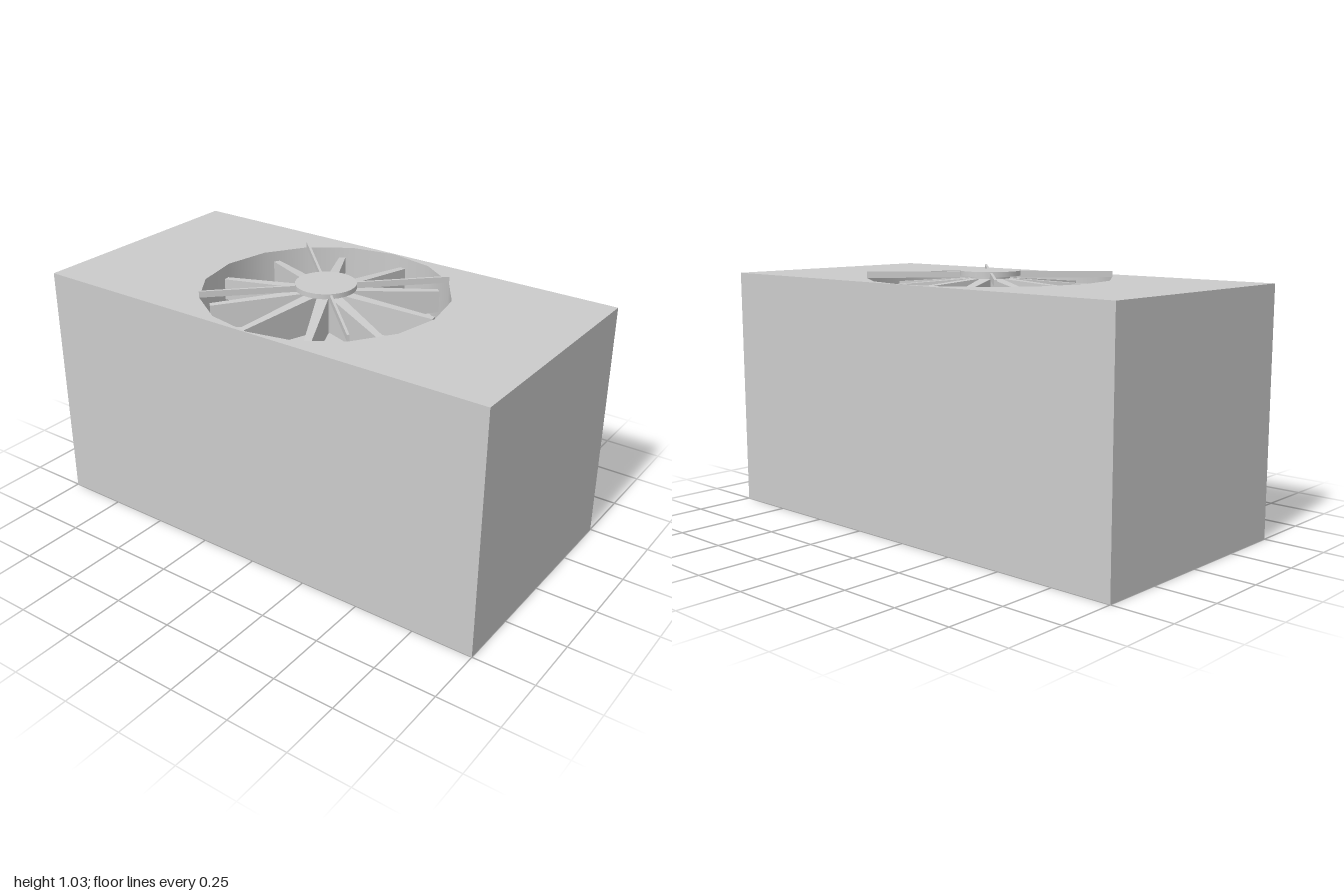
import * as THREE from 'three';

const grey = new THREE.MeshStandardMaterial({ color: 0xcccccc, side: THREE.DoubleSide });
const flat = new THREE.MeshStandardMaterial({ color: 0xcccccc, flatShading: true });

const WELL_R = 0.495, WELL_DEPTH = 0.2, SIDES = 16;

function add(parent, name, geometry, material, x = 0, y = 0, z = 0) {
  const mesh = new THREE.Mesh(geometry, material);
  mesh.name = name;
  mesh.position.set(x, y, z);
  parent.add(mesh);
  return mesh;
}

// Four walls and base of the housing: a box without its top face
function openBox(w, h, d) {
  const g = new THREE.BoxGeometry(w, h, d);
  const index = Array.from(g.index.array);
  index.splice(12, 6);
  g.setIndex(index);
  g.clearGroups();
  return g;
}

// Top plate with a many-sided opening
function topPlate(w, d) {
  const shape = new THREE.Shape([
    new THREE.Vector2(-w / 2, -d / 2), new THREE.Vector2(w / 2, -d / 2),
    new THREE.Vector2(w / 2, d / 2), new THREE.Vector2(-w / 2, d / 2),
  ]);
  const ring = [];
  for (let i = 0; i < SIDES; i++) {
    const a = -i / SIDES * Math.PI * 2;
    ring.push(new THREE.Vector2(WELL_R * Math.cos(a), WELL_R * Math.sin(a)));
  }
  shape.holes.push(new THREE.Path(ring));
  return new THREE.ShapeGeometry(shape).rotateX(-Math.PI / 2);
}

// Blade along +x, tapering in width and height towards its tip
function bladeGeometry(inner, outer) {
  const g = new THREE.BoxGeometry(outer - inner, 0.15, 0.046);
  g.translate((inner + outer) / 2, 0, 0);
  const p = g.attributes.position;
  for (let i = 0; i < p.count; i++) {
    const k = 1 - 0.42 * (p.getX(i) - inner) / (outer - inner);
    p.setY(i, p.getY(i) * k);
    p.setZ(i, p.getZ(i) * k);
  }
  g.computeVertexNormals();
  return g;
}

export function createModel() {
  const model = new THREE.Group();
  model.name = 'fanUnit';

  // Housing
  const housing = new THREE.Group();
  housing.name = 'housing';
  model.add(housing);
  add(housing, 'housingWalls', openBox(1, 1, 2), grey, 0, 0.5, 0);
  add(housing, 'housingTop', topPlate(1, 2), grey, 0, 1, 0);
  add(housing, 'wellWall',
    new THREE.CylinderGeometry(WELL_R, WELL_R, WELL_DEPTH, SIDES, 1, true), grey, 0, 1 - WELL_DEPTH / 2, 0);
  add(housing, 'wellFloor',
    new THREE.CircleGeometry(WELL_R, SIDES).rotateX(-Math.PI / 2), grey, 0, 1 - WELL_DEPTH, 0);

  // Fan: ten blades around a motor
  const fan = new THREE.Group();
  fan.name = 'fan';
  model.add(fan);
  const blade = bladeGeometry(0.07, 0.455);
  for (let i = 0; i < 10; i++) {
    const mesh = add(fan, 'blade', blade, flat, 0, 0.925, 0);
    mesh.rotation.y = -THREE.MathUtils.degToRad(9 + 36 * i);
  }
  add(fan, 'motor', new THREE.CylinderGeometry(0.08, 0.08, 0.16, SIDES), grey, 0, 0.93, 0);

  // Guard: crossed thin bars under a round cap
  const guard = new THREE.Group();
  guard.name = 'guard';
  model.add(guard);
  for (const side of [-1, 1]) {
    const bar = add(guard, 'guardBar', new THREE.BoxGeometry(0.99, 0.025, 0.01), flat, 0, 1.0135, 0);
    bar.rotation.y = side * Math.PI / 4;
  }
  add(guard, 'hubCap', new THREE.CylinderGeometry(0.122, 0.122, 0.02, 24), grey, 0, 1.02, 0);

  return model;
}
